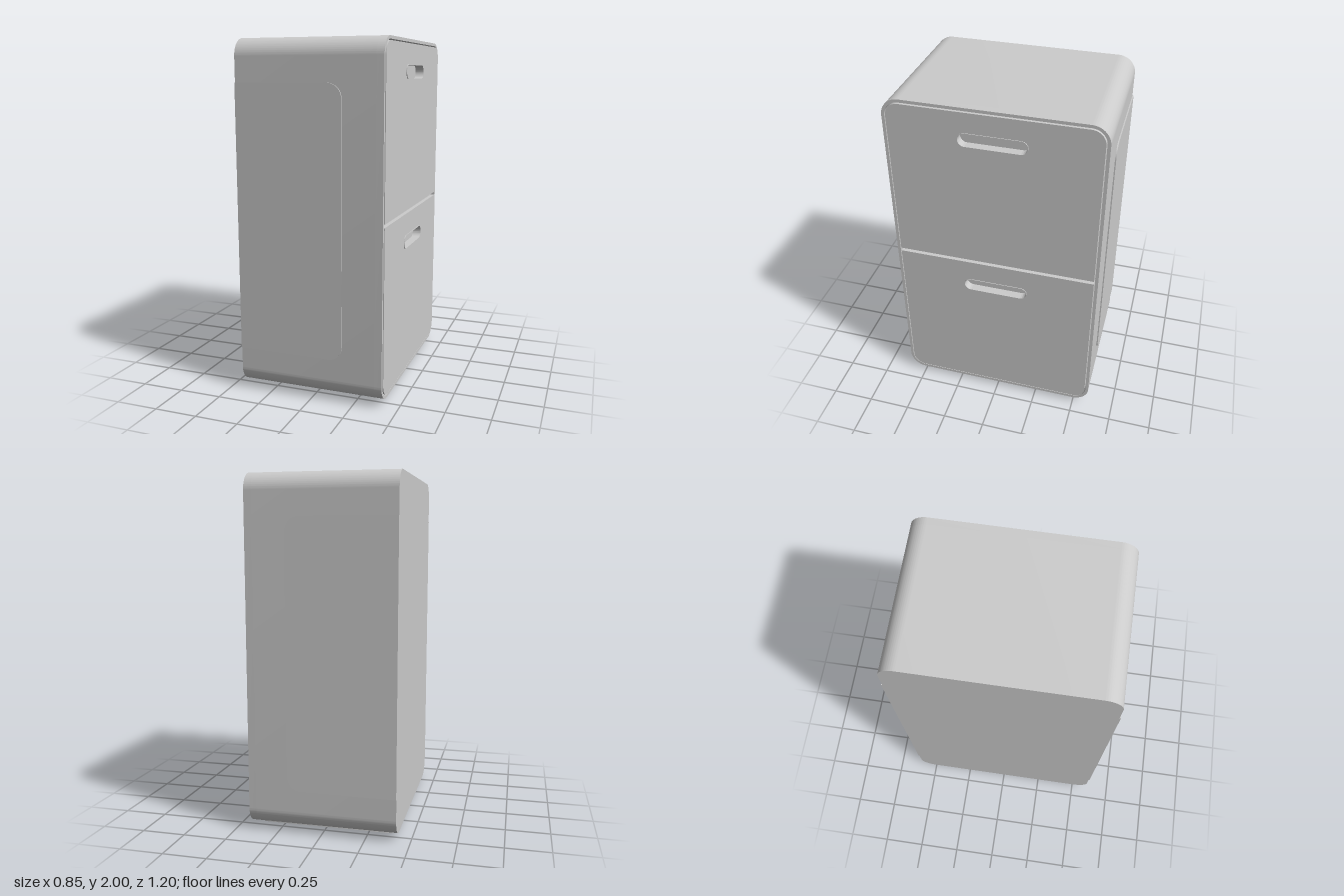
import * as THREE from 'three';
import { toCreasedNormals } from 'three/addons/utils/BufferGeometryUtils.js';

const material = new THREE.MeshStandardMaterial({ color: 0xcccccc });

// Rectangle outline with its own radius per corner: bottom-left, bottom-right, top-right, top-left
function trace(path, x0, y0, x1, y1, [bl, br, tr, tl]) {
  const arc = (x, y, r, start) => r > 0 && path.absarc(x, y, r, start, start + Math.PI / 2, false);
  path.moveTo(x0 + bl, y0);
  path.lineTo(x1 - br, y0);
  arc(x1 - br, y0 + br, br, -Math.PI / 2);
  path.lineTo(x1, y1 - tr);
  arc(x1 - tr, y1 - tr, tr, 0);
  path.lineTo(x0 + tl, y1);
  arc(x0 + tl, y1 - tl, tl, Math.PI / 2);
  path.lineTo(x0, y0 + bl);
  arc(x0 + bl, y0 + bl, bl, Math.PI);
  return path;
}

const rect = (...a) => trace(new THREE.Shape(), ...a);
const hole = (...a) => trace(new THREE.Path(), ...a);
const all = (r) => [r, r, r, r];

function extrude(shape, depth) {
  return new THREE.ExtrudeGeometry(shape, { depth, bevelEnabled: false, curveSegments: 14 });
}

function createMesh(name, geometry) {
  const mesh = new THREE.Mesh(toCreasedNormals(geometry, 0.5), material);
  mesh.name = name;
  return mesh;
}

// Extrudes a z-y outline along x, from x0 to x1
function alongX(name, shape, x0, x1) {
  return createMesh(name, extrude(shape, x1 - x0).rotateY(Math.PI / 2).translate(x0, 0, 0));
}

export function createModel() {
  const model = new THREE.Group();
  model.name = 'drawerCabinet';
  const backX = -0.427, floorX = 0.375, rimX = 0.417, faceX = 0.42;
  const bottom = 0.032, top = 2, halfZ = 0.595;

  // Solid carcass with a raised rim around the drawer fronts
  model.add(alongX('carcass', rect(-halfZ, bottom, halfZ, top, all(0.1)), backX, floorX));
  const rim = rect(-halfZ, bottom, halfZ, top, all(0.1));
  rim.holes.push(hole(-0.578, 0.05, 0.578, 1.983, all(0.083)));
  model.add(alongX('frontRim', rim, floorX, rimX));

  // Drawer fronts with a lined finger slot
  const drawers = [
    { name: 'upperDrawer', y0: 1.033, y1: 1.976, radii: [0, 0, 0.076, 0.076], slotY: 1.82 },
    { name: 'lowerDrawer', y0: 0.057, y1: 1.013, radii: [0.076, 0.076, 0, 0], slotY: 0.845 },
  ];
  for (const { name, y0, y1, radii, slotY } of drawers) {
    const drawer = new THREE.Group();
    drawer.name = name;
    const slot = [-0.19, slotY - 0.041, 0.19, slotY + 0.041, all(0.041)];
    const front = rect(-0.572, y0, 0.572, y1, radii);
    front.holes.push(hole(...slot));
    const lining = rect(...slot);
    lining.holes.push(hole(-0.186, slotY - 0.037, 0.186, slotY + 0.037, all(0.037)));
    drawer.add(alongX('drawerFront', front, floorX, faceX));
    drawer.add(alongX('handleSlot', lining, floorX, faceX + 0.004));
    model.add(drawer);
  }

  // Rail set back in the gap between the drawers
  model.add(alongX('middleRail', rect(-0.54, 1.013, 0.54, 1.033, all(0)), floorX, 0.395));

  for (const side of [1, -1]) {
    // Thin side panel, rounded towards the drawers only
    const panel = extrude(rect(backX, 0.252, 0.188, 1.762, [0, 0.08, 0.08, 0]), 0.015);
    panel.translate(0, 0, side > 0 ? 0.587 : -0.602);
    model.add(createMesh(side > 0 ? 'leftSidePanel' : 'rightSidePanel', panel));

    // Long foot runner with rounded vertical corners
    const runner = extrude(rect(-0.39, -0.0785, 0.385, 0.0785, all(0.02)), 0.034);
    runner.rotateX(-Math.PI / 2).translate(0, 0, side * 0.375);
    model.add(createMesh(side > 0 ? 'leftFoot' : 'rightFoot', runner));
  }
  return model;
}
